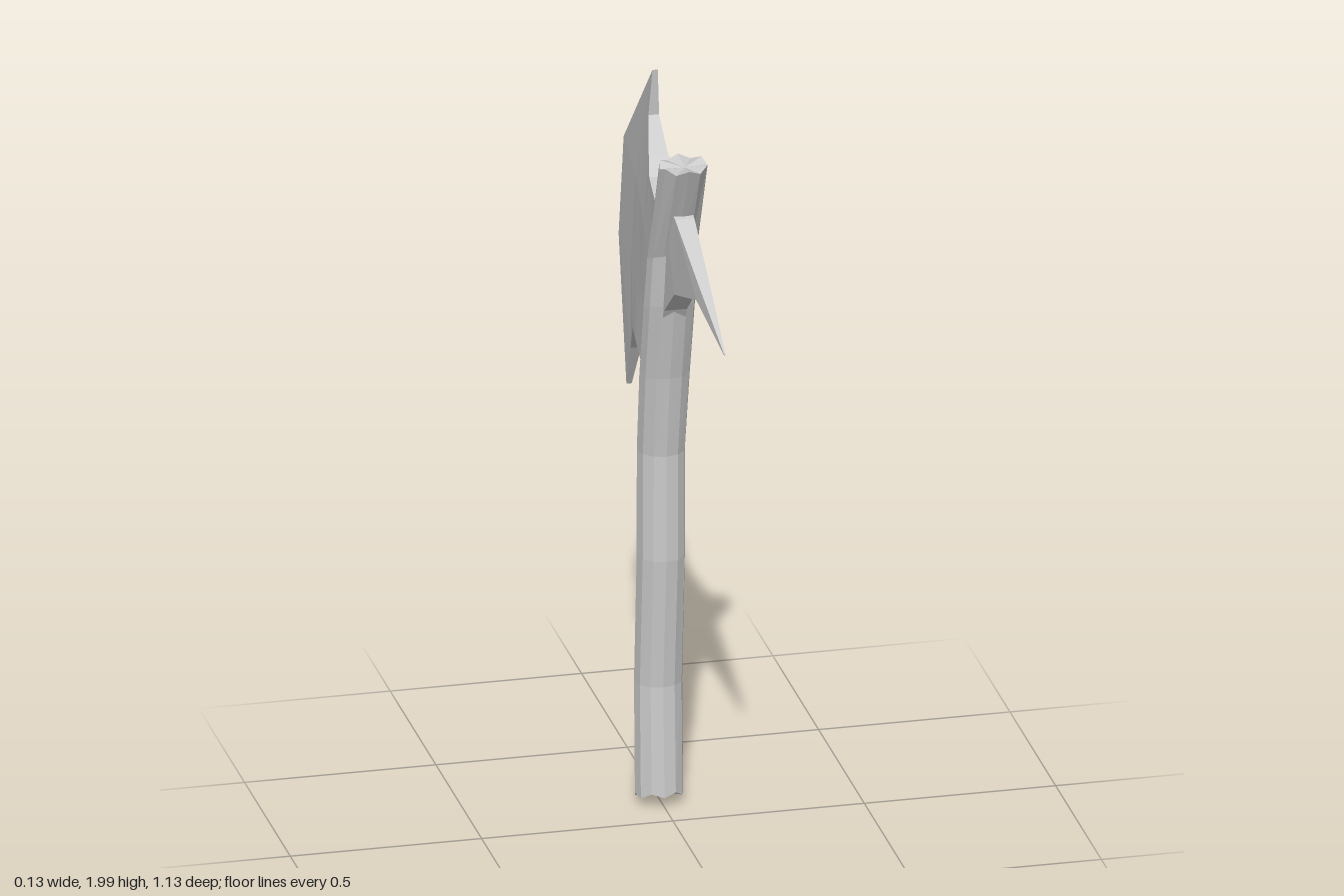
import * as THREE from 'three';

const material = new THREE.MeshStandardMaterial({ color: 0xcccccc, flatShading: true });

// Skins a list of equal-length loops of [x, y, z]; loops run counter-clockwise seen from the far end.
function loft(name, loops, caps = [null, null]) {
  const pos = [];
  const n = loops[0].length;
  const tri = (a, b, c) => pos.push(...a, ...b, ...c);
  for (let i = 0; i < loops.length - 1; i++) {
    for (let j = 0; j < n; j++) {
      const k = (j + 1) % n;
      const a = loops[i][j], b = loops[i][k], c = loops[i + 1][k], d = loops[i + 1][j];
      tri(a, b, c);
      tri(a, c, d);
    }
  }
  // End caps fan out from the given centre points
  const first = loops[0], last = loops[loops.length - 1];
  for (let j = 0; j < n; j++) {
    const k = (j + 1) % n;
    if (caps[0]) tri(caps[0], first[k], first[j]);
    if (caps[1]) tri(caps[1], last[j], last[k]);
  }
  const geometry = new THREE.BufferGeometry();
  geometry.setAttribute('position', new THREE.Float32BufferAttribute(pos, 3));
  geometry.computeVertexNormals();
  const mesh = new THREE.Mesh(geometry, material);
  mesh.name = name;
  return mesh;
}

// Bent handle: each ring is [front z, front y, back z, back y, half width]
function makeHandle() {
  const rings = [
    [-0.08, 0.04, -0.2, 0.01, 0.063],
    [-0.093, 0.34, -0.207, 0.34, 0.063],
    [-0.058, 0.7, -0.183, 0.7, 0.063],
    [-0.057, 0.99, -0.182, 0.99, 0.063],
    [-0.02, 1.22, -0.14, 1.2, 0.066],
    [0.03, 1.44, -0.085, 1.41, 0.067],
    [0.055, 1.59, -0.058, 1.54, 0.064],
    [0.19, 1.875, 0.065, 1.875, 0.063],
  ];
  const sides = 12;
  const loops = rings.map(([fz, fy, bz, by, w], i) => {
    const loop = [];
    const notch = i === 0 ? 0.012 : i === rings.length - 1 ? -0.012 : 0;
    for (let j = 0; j < sides; j++) {
      const t = (j / sides) * Math.PI * 2;
      const c = Math.cos(t);
      // Alternate rim points are nicked for rough-cut ends
      const y = (fy + by) / 2 + (c * (fy - by)) / 2 + (j % 2 ? notch : 0);
      loop.push([w * Math.sin(t) - 0.003, y, (fz + bz) / 2 + (c * (fz - bz)) / 2]);
    }
    return loop;
  });
  return loft('handle', loops, [[0, 0.035, -0.14], [0, 1.862, 0.128]]);
}

// Blade: rows of [z, y] from the handle to the cutting edge, thinning outward
function makeBlade() {
  const rows = [
    [[0.03, 1.725], [-0.1, 1.745], [-0.16, 1.78], [-0.21, 1.87], [-0.195, 2.0]],
    [[0.0, 1.56], [-0.16, 1.58], [-0.25, 1.61], [-0.35, 1.65], [-0.51, 1.69]],
    [[-0.045, 1.38], [-0.2, 1.39], [-0.3, 1.4], [-0.4, 1.4], [-0.565, 1.4]],
    [[-0.1, 1.205], [-0.255, 1.24], [-0.335, 1.235], [-0.405, 1.15], [-0.48, 1.02]],
  ];
  const half = [0.052, 0.038, 0.025, 0.014, 0.007, 0];
  const loops = half.map((h, i) => {
    const column = rows.map((row) => row[Math.min(i, 4)]);
    return [
      ...column.map(([z, y]) => [h, y, z]),
      ...column.reverse().map(([z, y]) => [-h, y, z]),
    ];
  });
  return loft('blade', loops);
}

// Spike opposite the blade: sections are [z, top y, bottom y, top half width, bottom half width]
function makeSpike() {
  const sections = [
    [-0.02, 1.7, 1.34, 0.035, 0.03],
    [0.03, 1.74, 1.43, 0.03, 0.03],
    [0.13, 1.72, 1.515, 0.025, 0.028],
    [0.33, 1.63, 1.58, 0.015, 0.018],
    [0.565, 1.526, 1.522, 0.002, 0.002],
  ];
  const loops = sections.map(([z, top, bottom, a, b]) => [
    [a, top, z], [-a, top, z], [-b, bottom, z], [b, bottom, z],
  ]);
  return loft('spike', loops, [[0, 1.53, -0.02], [0, 1.524, 0.565]]);
}

// Small ridge where the top of the blade meets the handle
function makeRidge() {
  const section = (z, top, low, w) => [[0, top, z], [w, low, z], [-w, low, z]];
  return loft('bladeRidge', [
    section(0.03, 1.772, 1.71, 0.045),
    section(0, 1.77, 1.715, 0.04),
    section(-0.11, 1.75, 1.74, 0.006),
  ], [[0, 1.73, 0.03], [0, 1.743, -0.11]]);
}

export function createModel() {
  const model = new THREE.Group();
  model.name = 'axe';
  model.add(makeHandle(), makeBlade(), makeSpike(), makeRidge());
  return model;
}
